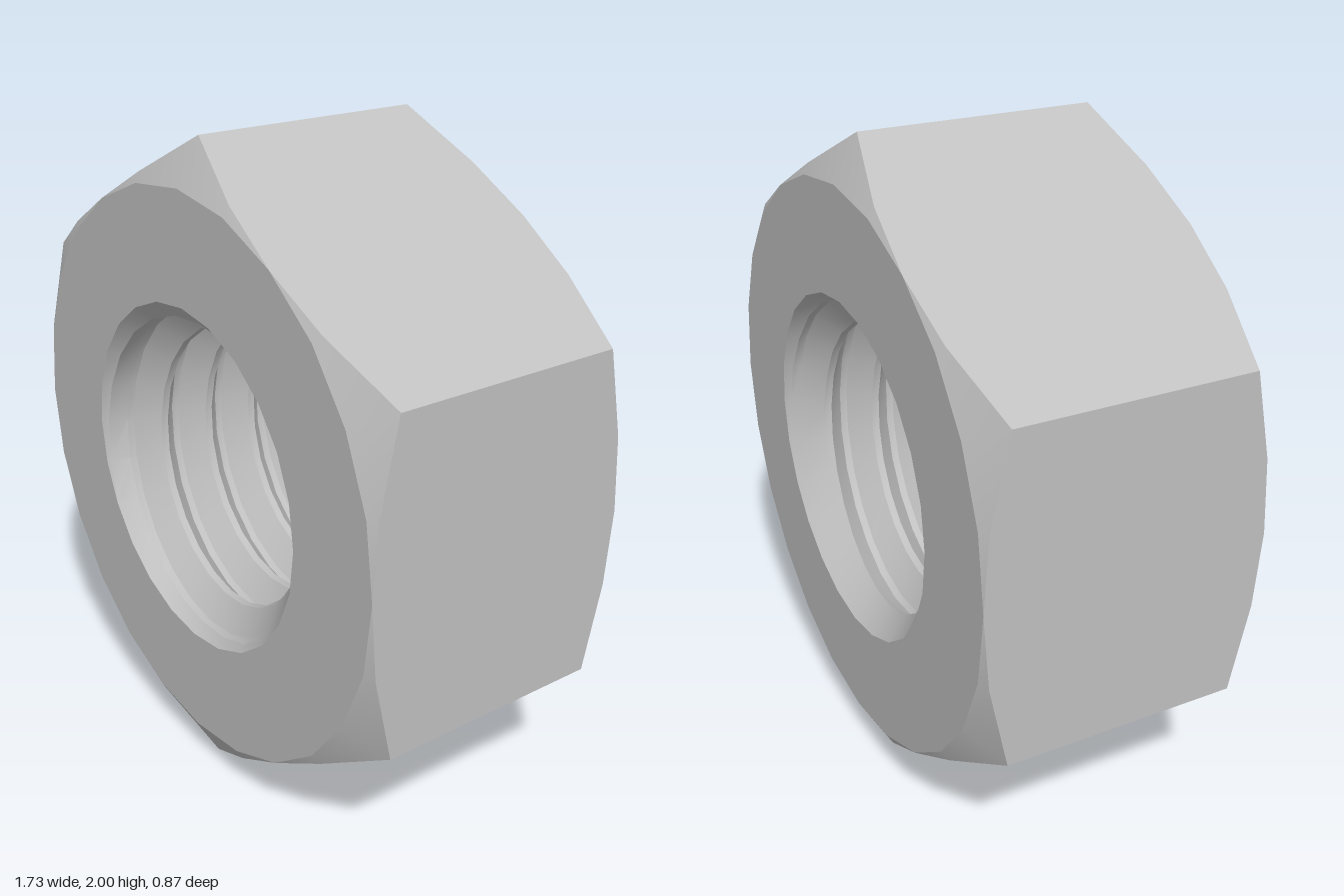
import * as THREE from 'three';
import { toCreasedNormals } from 'three/addons/utils/BufferGeometryUtils.js';

const SEG = 24;          // steps around the axis
const HALF = 0.433;      // half thickness
const FLAT = 0.866;      // centre to flat
const MOUTH = 0.53;      // radius of the bore opening
const PITCH = 0.167;

// Skins a list of rings; each ring is a function angle -> [radius, z]
function loft(rings) {
  const pos = [], index = [];
  for (const ring of rings) {
    for (let j = 0; j <= SEG; j++) {
      const a = (j / SEG) * Math.PI * 2;
      const [r, z] = ring(a);
      pos.push(r * Math.cos(a), r * Math.sin(a), z);
    }
  }
  const n = SEG + 1;
  for (let i = 0; i < rings.length - 1; i++) {
    for (let j = 0; j < SEG; j++) {
      const a = i * n + j, d = a + n;
      index.push(a, d, d + 1, a, d + 1, a + 1);
    }
  }
  const geo = new THREE.BufferGeometry();
  geo.setAttribute('position', new THREE.Float32BufferAttribute(pos, 3));
  geo.setIndex(index);
  return toCreasedNormals(geo, 0.4);
}

// Distance from the axis to the hexagon at an angle
function hexRadius(a) {
  const step = Math.PI / 3;
  return FLAT / Math.cos(a - Math.round(a / step) * step);
}

export function createModel() {
  const steel = new THREE.MeshStandardMaterial({ color: 0xc0c0c0 });
  steel.name = 'steel grey';
  const nut = new THREE.Group();
  nut.name = 'hexNut';

  const add = (name, geo) => {
    const mesh = new THREE.Mesh(geo, steel);
    mesh.name = name;
    mesh.position.y = 1;
    nut.add(mesh);
  };

  // Hexagonal body: flat faces, conical corner chamfers and six sides
  const corner = (a) => {
    const r = hexRadius(a);
    return [r, HALF - (r - FLAT) * 0.55];
  };
  const back = (ring) => (a) => {
    const [r, z] = ring(a);
    return [r, -z];
  };
  const mouth = () => [MOUTH, HALF];
  const faceEdge = () => [FLAT, HALF];
  add('hexBody', loft([
    mouth, faceEdge, corner, back(corner), back(faceEdge), back(mouth),
  ]));

  // Threaded bore: rows follow a right-hand helix, countersunk at both ends
  const profile = [[0, 0.425], [0.14, 0.425], [0.5, 0.5], [0.64, 0.5]];
  const rows = [];
  for (let turn = -4; turn <= 3; turn++) {
    for (const [t, radius] of profile) {
      rows.push((a) => {
        const raw = PITCH * (turn + t + a / (Math.PI * 2));
        const z = THREE.MathUtils.clamp(raw, -HALF, HALF);
        return [Math.max(radius, MOUTH - (HALF - Math.abs(z))), z];
      });
    }
  }
  add('threadedBore', loft(rows));

  return nut;
}
